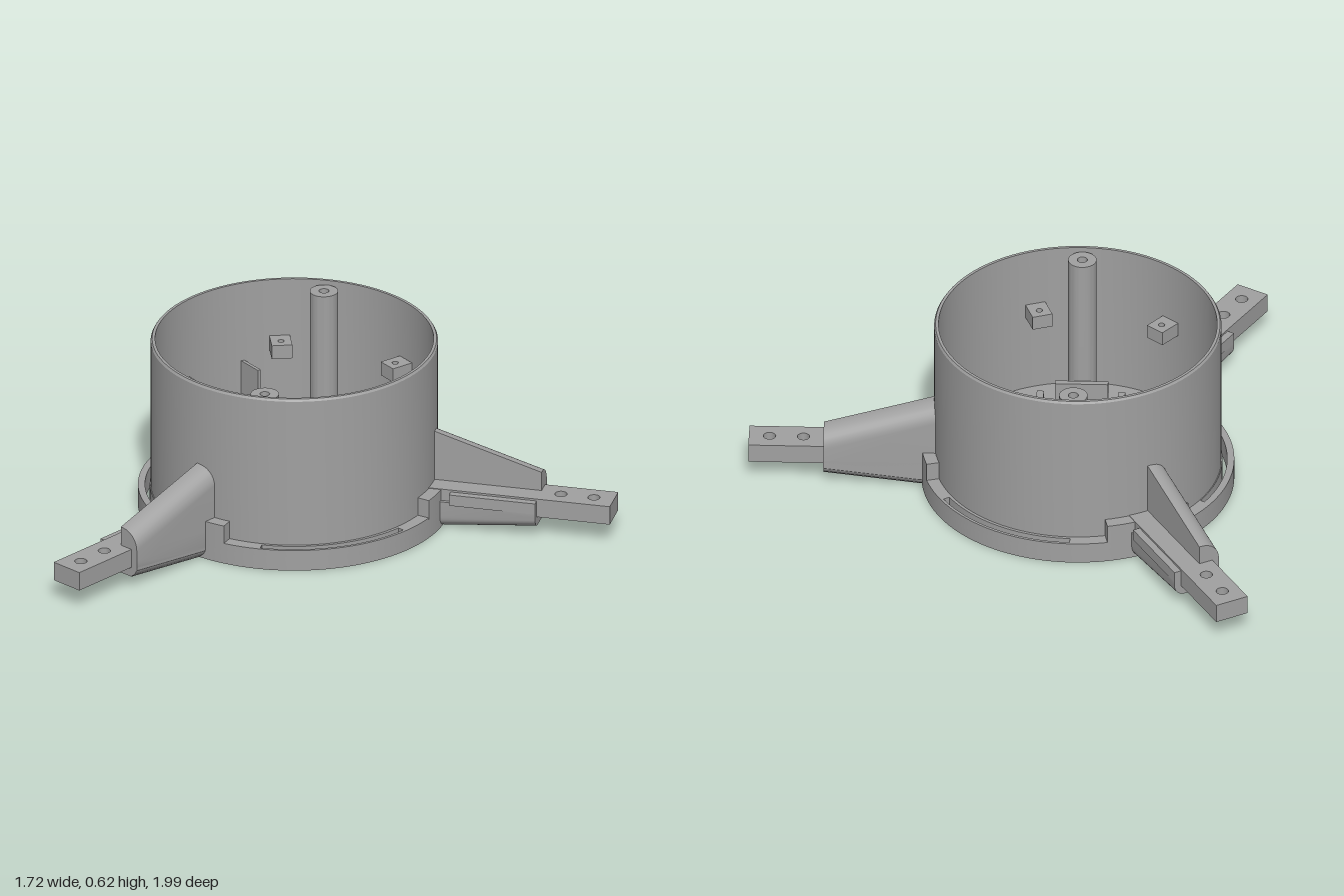
import * as THREE from 'three';
import { toCreasedNormals } from 'three/addons/utils/BufferGeometryUtils.js';
import { ConvexGeometry } from 'three/addons/geometries/ConvexGeometry.js';

const TAU = Math.PI * 2, DEG = Math.PI / 180;

export function createModel() {
  const grey = new THREE.MeshStandardMaterial({ color: 0xa0a0a0 });
  grey.name = 'grey plastic';
  const model = new THREE.Group();
  const hub = new THREE.Group(); // origin on the axis of the round housing
  hub.name = 'housing';
  hub.position.x = -0.255;
  model.add(hub);

  const add = (name, geometry, parent = hub) => {
    const mesh = new THREE.Mesh(geometry, grey);
    mesh.name = name;
    parent.add(mesh);
    return mesh;
  };
  const box = (name, x0, x1, y0, y1, z0, z1, parent) => {
    const g = new THREE.BoxGeometry(x1 - x0, y1 - y0, z1 - z0);
    g.translate((x0 + x1) / 2, (y0 + y1) / 2, (z0 + z1) / 2);
    return add(name, g, parent);
  };
  // Plan outlines use (x, -z)
  const circle = (x, z, r, Kind = THREE.Path) => new Kind().absarc(x, -z, r, 0, TAU);
  const sector = (r0, r1, a0, a1, Kind = THREE.Path) => {
    const p = new Kind();
    p.absarc(0, 0, r1, a0 * DEG, a1 * DEG, false);
    p.absarc(0, 0, r0, a1 * DEG, a0 * DEG, true);
    p.closePath();
    return p;
  };
  const plate = (name, shape, holes, y0, y1, parent, segments = 32) => {
    shape.holes.push(...holes);
    const g = new THREE.ExtrudeGeometry(shape, { depth: y1 - y0, bevelEnabled: false, curveSegments: segments });
    g.rotateX(-Math.PI / 2);
    g.translate(0, y0, 0);
    return add(name, toCreasedNormals(g, 0.5), parent);
  };

  // Base disc: lower layer has the underside pockets, upper layer is the floor
  const through = () => {
    const holes = [circle(0, 0, 0.036)];
    for (const x of [-0.077, 0.077]) for (const z of [-0.078, 0.078]) holes.push(circle(x, z, 0.02));
    holes.push(new THREE.Path([[0.295, 0.14], [0.31, 0.145], [0.33, 0.09], [0.315, 0.085]]
      .map(([x, y]) => new THREE.Vector2(x, y))));
    holes.push(sector(0.497, 0.52, 31, 89), sector(0.497, 0.52, 271, 329), sector(0.49, 0.506, 150, 210));
    return holes;
  };
  const pockets = [45, 165, 285].map(a => sector(0.2, 0.4, a - 25, a + 25));
  plate('baseUnderside', circle(0, 0, 0.53, THREE.Shape), [...through(), ...pockets], 0, 0.05, hub, 72);
  plate('baseFloor', circle(0, 0, 0.53, THREE.Shape), through(), 0.05, 0.075, hub, 72);

  // Thin round wall with a small chamfer at the rim
  const wall = [[0.472, 0.07], [0.487, 0.07], [0.487, 0.612], [0.482, 0.62], [0.472, 0.62], [0.472, 0.07]];
  add('roundWall', toCreasedNormals(
    new THREE.LatheGeometry(wall.map(([x, y]) => new THREE.Vector2(x, y)), 96), 0.5));

  // Screw columns and bored lugs, in pairs half a turn apart
  for (const s of [1, -1]) {
    plate('screwColumn', circle(0, 0.42 * s, 0.048, THREE.Shape), [circle(0, 0.42 * s, 0.017)], 0.075, 0.605);
    box('columnWeb', -0.02, 0.02, 0.075, 0.6, s > 0 ? 0.45 : -0.476, s > 0 ? 0.476 : -0.45);
    for (const [x, z] of [[0.145, 0.4], [-0.272, 0.325]]) {
      const lug = new THREE.Group();
      lug.name = 'wallLug';
      lug.position.set(x * s, 0, z * s);
      lug.rotation.y = Math.atan2(x * s, z * s);
      hub.add(lug);
      const square = new THREE.Shape([[-0.035, -0.045], [0.035, -0.045], [0.035, 0.035], [-0.035, 0.035]]
        .map(([a, b]) => new THREE.Vector2(a, b)));
      plate('lugPlate', square, [circle(0, 0, 0.011)], 0.36, 0.41, lug, 12);
    }
  }

  // Low ribs on the floor
  for (const s of [1, -1]) {
    const rib = (name, x, z, w, d, h) => box(name, x - w / 2, x + w / 2, 0.07, h, z - d / 2, z + d / 2);
    rib('longRib', 0.138 * s, 0, 0.024, 0.6, 0.15);
    rib('sideRib', 0.19 * s, 0, 0.02, 0.35, 0.15);
    rib('crossRib', 0, 0.355 * s, 0.18, 0.02, 0.15);
  }
  // Tall thin guide plates
  for (const [x, z] of [[-0.385, -0.18], [-0.24, -0.355]]) {
    const guide = add('guidePlate', new THREE.BoxGeometry(0.1, 0.26, 0.012));
    guide.position.set(x, 0.2, z);
    guide.rotation.y = -40 * DEG;
  }
  // Mounting pegs and battery ring
  for (const [x, z] of [[-0.395, -0.107], [-0.395, 0.107], [-0.234, -0.107], [-0.234, 0.107],
    [0.25, -0.152], [0.378, -0.152], [0.25, 0.034], [0.378, 0.034]])
    plate('mountingPeg', circle(x, z, 0.021, THREE.Shape), [circle(x, z, 0.01)], 0.07, 0.12, hub, 10);
  plate('floorRing', circle(0.26, 0.255, 0.072, THREE.Shape), [circle(0.26, 0.255, 0.065)], 0.07, 0.1);

  // Rounded corner points in the (z, y) plane
  const corner = (z, y, r, a0) => Array.from({ length: 9 }, (_, i) => {
    const a = (a0 + i * 11.25) * DEG;
    return [z + r * Math.cos(a), y + r * Math.sin(a)];
  });
  const hull = (name, sections, parent) => add(name, toCreasedNormals(new ConvexGeometry(
    sections.flatMap(([x, pts]) => pts.map(([z, y]) => new THREE.Vector3(x, y, z)))), 0.45), parent);

  // Three identical arms
  for (let i = 0; i < 3; i++) {
    const arm = new THREE.Group();
    arm.name = 'arm';
    arm.rotation.y = i * TAU / 3;
    hub.add(arm);

    // Tall tapering fin, rounded along one upper edge
    const fin = (bottom, top) => [[-0.085, bottom + 0.03], [-0.06, bottom], [-0.01, bottom], [-0.01, top],
      ...corner(-0.02, top - 0.065, 0.065, 90)];
    hull('armFin', [[0.477, fin(0, 0.325)], [0.535, fin(0.002, 0.307)], [0.86, fin(0.04, 0.21)]], arm);

    // Wedge cradle beneath the bar
    const cradle = (y, half) => [[-0.085, 0.1], [half, 0.1],
      ...corner(-0.045, y + 0.04, 0.04, 180), ...corner(half - 0.04, y + 0.04, 0.04, 270)];
    hull('armCradle', [[0.477, cradle(0, 0.07)], [0.535, cradle(0.002, 0.072)], [0.86, cradle(0.04, 0.085)]], arm);
    box('cradleLip', 0.56, 0.86, 0.095, 0.135, 0.058, 0.085, arm);

    // Flat bar with two bolt holes
    const bar = new THREE.Shape([[0.477, -0.06], [1.115, -0.06], [1.115, 0.06], [0.477, 0.06]]
      .map(([x, y]) => new THREE.Vector2(x, y)));
    plate('armBar', bar, [circle(0.93, 0, 0.021), circle(1.045, 0, 0.021)], 0.075, 0.142, arm, 12);

    // Curved clamp block at the root of the arm
    plate('armClamp', sector(0.48, 0.53, -17, 17, THREE.Shape), [], 0.07, 0.14, arm);
  }
  return model;
}
